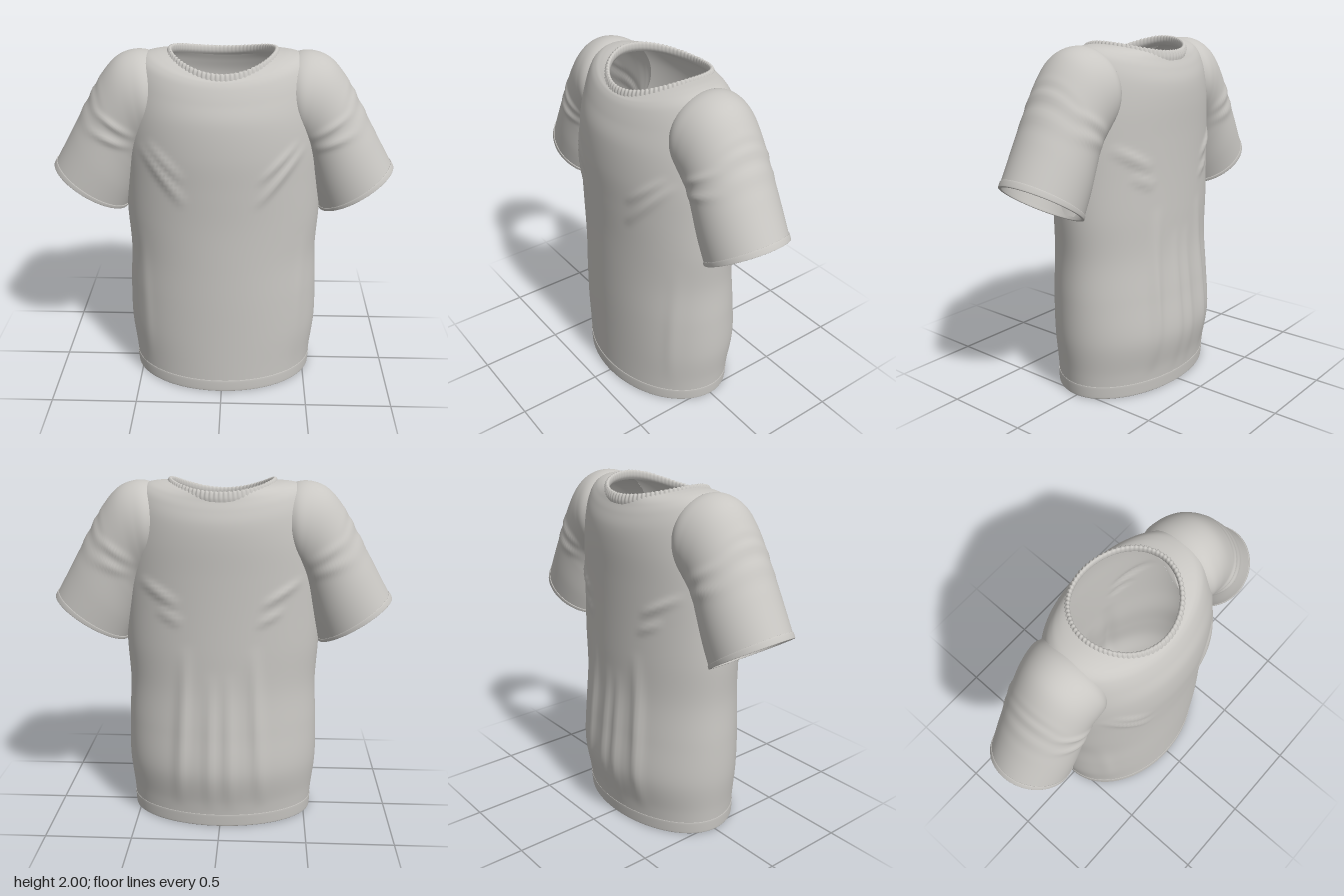
import * as THREE from 'three';

const fabric = new THREE.MeshStandardMaterial({ color: 0xc9c7c3, side: THREE.DoubleSide });
fabric.name = 'light grey fabric';

// Smooth lookup in a table of section values, t from 0 to 1
function sample(rows, t) {
  const f = t * (rows.length - 1), i = Math.min(Math.floor(f), rows.length - 2), u = f - i;
  const at = k => rows[Math.max(0, Math.min(rows.length - 1, k))];
  return rows[0].map((_, c) => {
    const a = at(i - 1)[c], b = at(i)[c], d = at(i + 1)[c], e = at(i + 2)[c];
    return b + 0.5 * u * (d - a + u * (2 * a - 5 * b + 4 * d - e + u * (3 * (b - d) + e - a)));
  });
}

// Closed rings joined along t; point(t, angle) gives [x, y, z]
function loft(steps, segs, point) {
  const pos = [], idx = [];
  for (let j = 0; j <= steps; j++) {
    for (let i = 0; i < segs; i++) pos.push(...point(j / steps, (i / segs) * Math.PI * 2));
  }
  for (let j = 0; j < steps; j++) {
    for (let i = 0; i < segs; i++) {
      const a = j * segs + i, b = j * segs + (i + 1) % segs;
      idx.push(a, a + segs, b, b, a + segs, b + segs);
    }
  }
  const g = new THREE.BufferGeometry();
  g.setAttribute('position', new THREE.Float32BufferAttribute(pos, 3));
  g.setIndex(idx);
  g.computeVertexNormals();
  return g;
}

function mesh(name, geometry) {
  const m = new THREE.Mesh(geometry, fabric);
  m.name = name;
  return m;
}

// Cloth folds: x1, y1, x2, y2, width, height
const frontFolds = [
  [0.19, 1.2, 0.46, 1.52, 0.022, 0.018], [0.2, 1.34, 0.42, 1.55, 0.02, 0.014],
  [0.44, 0.1, 0.46, 1.0, 0.03, 0.008],
];
const backFolds = [
  [0.22, 1.32, 0.46, 1.46, 0.022, 0.016], [0.2, 1.22, 0.36, 1.3, 0.02, 0.012],
  [0.06, 0.1, 0.05, 0.95, 0.03, 0.014], [0.24, 0.12, 0.19, 1.1, 0.035, 0.02],
];
const sleeveFolds = [
  [0.46, 1.53, 0.76, 1.72, 0.02, 0.012], [0.48, 1.47, 0.78, 1.6, 0.022, 0.012],
];
function foldHeight(list, x, y) {
  return list.reduce((sum, [x1, y1, x2, y2, w, h]) => {
    const dx = x2 - x1, dy = y2 - y1, l = Math.hypot(dx, dy);
    const s = ((x - x1) * dx + (y - y1) * dy) / (l * l);
    if (s <= 0 || s >= 1) return sum;
    const d = ((x - x1) * dy - (y - y1) * dx) / l;
    return sum + h * Math.sin(Math.PI * s) * Math.exp(-(d * d) / (w * w));
  }, 0);
}

// Body sections: half width, front z, back z, then y at side, front, back
const bodyRows = [
  [0.535, 0.385, 0.335, 0.01, 0.01, 0.01],
  [0.545, 0.385, 0.35, 0.14, 0.14, 0.14],
  [0.565, 0.385, 0.382, 0.34, 0.34, 0.34],
  [0.562, 0.385, 0.36, 0.58, 0.58, 0.58],
  [0.55, 0.383, 0.338, 0.82, 0.82, 0.82],
  [0.562, 0.383, 0.335, 1.06, 1.06, 1.06],
  [0.56, 0.39, 0.333, 1.28, 1.28, 1.28],
  [0.555, 0.395, 0.334, 1.48, 1.48, 1.48],
  [0.54, 0.38, 0.337, 1.66, 1.66, 1.66],
  [0.51, 0.345, 0.33, 1.83, 1.77, 1.77],
  [0.475, 0.316, 0.308, 1.925, 1.84, 1.845],
  [0.43, 0.296, 0.288, 1.966, 1.872, 1.892],
  [0.37, 0.282, 0.278, 1.981, 1.884, 1.918],
  [0.305, 0.27, 0.272, 1.984, 1.895, 1.935],
];
function bodyPoint(t, a) {
  const [w, zf, zb, ys, yf, yb] = sample(bodyRows, t);
  const s = Math.sin(a), front = s > 0;
  const x = w * Math.cos(a);
  const y = ys + ((front ? yf : yb) - ys) * s * s;
  const d = foldHeight(front ? frontFolds : backFolds, Math.abs(x), y);
  return [x, y, (front ? zf : zb) * s + Math.sign(s) * d * Math.min(1, Math.abs(s) * 3)];
}

// Sleeve sections: top x, top y, bottom x, bottom y, half depth
const sleeveRows = [
  [0.33, 1.93, 0.36, 1.55, 0.2],
  [0.42, 1.976, 0.4, 1.5, 0.238],
  [0.505, 1.978, 0.43, 1.45, 0.24],
  [0.59, 1.942, 0.455, 1.4, 0.234],
  [0.668, 1.858, 0.475, 1.34, 0.23],
  [0.745, 1.735, 0.49, 1.28, 0.23],
  [0.855, 1.535, 0.525, 1.17, 0.232],
  [0.975, 1.32, 0.565, 1.062, 0.226],
];
function sleevePoint(t, a, grow = 0) {
  const [tx, ty, bx, by, d] = sample(sleeveRows, t);
  const l = Math.hypot(tx - bx, ty - by);
  const ripple = 0.004 * Math.sin(t * 75) * Math.exp(-(((t - 0.72) / 0.09) ** 2));
  const c = Math.cos(a) * (0.5 + (grow + ripple * Math.max(0, Math.cos(a))) / l);
  const x = (tx + bx) / 2 + (tx - bx) * c, y = (ty + by) / 2 + (ty - by) * c;
  const s = Math.sin(a);
  return [x, y, s * (d + grow + foldHeight(sleeveFolds, x, y) * Math.abs(s))];
}

// A point is inside a tube if a ray along z crosses it an odd number of times
const ray = new THREE.Raycaster();
const along = new THREE.Vector3(0, 0, 1);
function isInside(p, target) {
  ray.set(new THREE.Vector3(Math.abs(p.x) + 0.00013, p.y + 0.00017, p.z), along);
  return ray.intersectObject(target).length % 2 === 1;
}

// Remove what lies inside the target and draw the cut edge onto its surface
function cutAway(geometry, target, near) {
  const pos = geometry.attributes.position, src = geometry.index.array;
  const points = Array.from({ length: pos.count }, (_, i) => new THREE.Vector3().fromBufferAttribute(pos, i));
  const inside = points.map(p => near(Math.abs(p.x), p.y) && isInside(p, target));
  const kept = [], moved = new Set();
  for (let i = 0; i < src.length; i += 3) {
    const tri = [src[i], src[i + 1], src[i + 2]];
    const outer = tri.find(v => !inside[v]);
    if (outer === undefined) continue;
    kept.push(...tri);
    for (const v of tri) {
      if (!inside[v] || moved.has(v)) continue;
      moved.add(v);
      const a = points[v].clone(), b = points[outer].clone();
      for (let k = 0; k < 7; k++) {
        const m = a.clone().lerp(b, 0.5);
        (isInside(m, target) ? a : b).copy(m);
      }
      pos.setXYZ(v, a.x, a.y, a.z);
    }
  }
  geometry.setIndex(kept);
}

// Neckline rim: sides high, front dipping lowest
function neckPoint(a, grow, lift) {
  const s = Math.sin(a), low = s > 0 ? 1.912 : 1.942;
  const zr = s > 0 ? 0.262 : 0.268;
  return [(0.288 + grow) * Math.cos(a), 1.995 + (low - 1.995) * s * s + lift, (zr + grow) * s];
}

export function createModel() {
  const model = new THREE.Group();
  model.name = 'tShirt';

  // Body and sleeve, opened into each other at the armholes
  const body = mesh('body', loft(110, 144, bodyPoint));
  const sleeve = mesh('sleeve', loft(64, 72, (t, a) => sleevePoint(t, a)));
  const wholeBody = mesh('wholeBody', body.geometry.clone());
  cutAway(body.geometry, sleeve, (x, y) => x > 0.3 && y > 1);
  cutAway(sleeve.geometry, wholeBody, x => x < 0.62);
  model.add(body);

  // Bottom hem: a band folded round the edge
  const hemProfile = [[0, 0.075], [0.004, 0.07], [0.004, 0.012], [0, 0], [-0.008, 0], [-0.012, 0.012], [-0.012, 0.075]];
  model.add(mesh('bottomHem', loft(24, 144, (t, a) => {
    const [grow, y] = sample(hemProfile, t);
    const p = bodyPoint(Math.max(0, y - 0.01) / 0.13 / (bodyRows.length - 1), a);
    return [p[0] * (1 + grow / 0.54), y, p[2] * (1 + grow / 0.36)];
  })));

  // Sleeves with folded cuffs, mirrored
  const cuffProfile = [[0, 0.97], [0.004, 0.972], [0.004, 0.997], [0, 1], [-0.008, 1], [-0.012, 0.997], [-0.012, 0.97]];
  const cuffGeo = loft(24, 72, (t, a) => {
    const [grow, s] = sample(cuffProfile, t);
    return sleevePoint(Math.min(1, s), a, grow);
  });
  const left = new THREE.Group();
  left.name = 'leftSleeve';
  left.add(sleeve, mesh('cuff', cuffGeo));
  const right = left.clone();
  right.name = 'rightSleeve';
  right.scale.x = -1;
  model.add(left, right);

  // Ribbed collar
  const collarProfile = [[0.022, -0.05], [0.022, -0.03], [0.014, -0.006], [0.004, 0.004], [-0.006, -0.004], [-0.007, -0.03], [0.004, -0.05]];
  model.add(mesh('collar', loft(18, 384, (t, a) => {
    const [grow, lift] = sample(collarProfile, t);
    const rib = 0.0035 * Math.cos(a * 76) * Math.sin(Math.PI * t);
    return neckPoint(a, grow + rib * (t < 0.5 ? 1 : -0.3), lift + rib * 0.5);
  })));
  return model;
}
